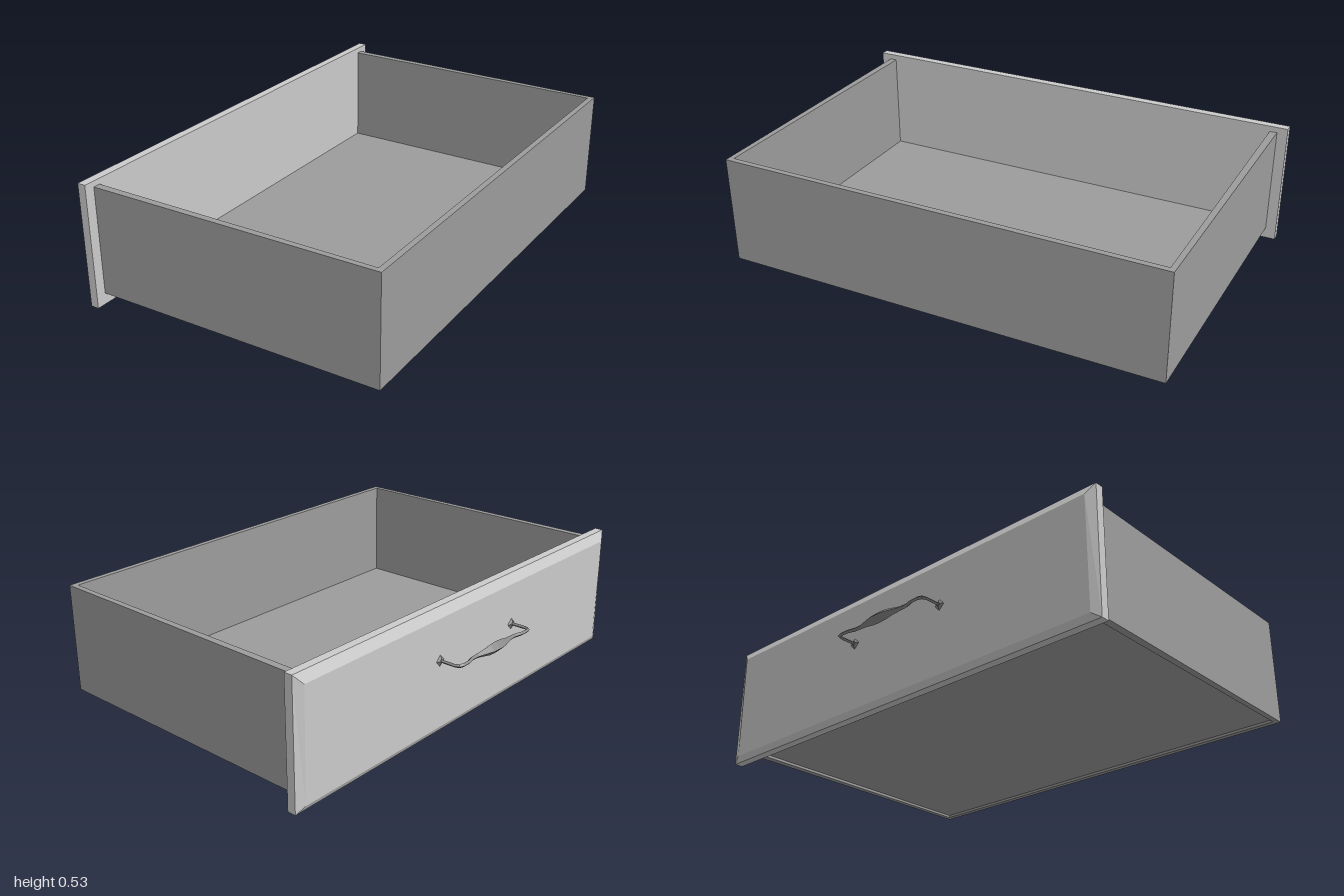
import * as THREE from 'three';

const makeMaterial = (color) => new THREE.MeshStandardMaterial({ color, flatShading: true, side: THREE.DoubleSide });
const panelMaterial = makeMaterial(0xcccccc);
const boxMaterial = makeMaterial(0x9c9c9c);
const handleMaterial = makeMaterial(0x888888);

function add(parent, name, geometry, material, x = 0, y = 0, z = 0) {
  const mesh = new THREE.Mesh(geometry, material);
  mesh.name = name;
  mesh.position.set(x, y, z);
  parent.add(mesh);
}

// Joins rings of four corners into a closed solid
function loft(rings) {
  const pos = [];
  const quad = (a, b, c, d) => [a, b, c, a, c, d].forEach((p) => pos.push(p.x, p.y, p.z));
  for (let i = 0; i < rings.length - 1; i++) {
    for (let j = 0; j < 4; j++) {
      const k = (j + 1) % 4;
      quad(rings[i][j], rings[i][k], rings[i + 1][k], rings[i + 1][j]);
    }
  }
  const [a, b, c, d] = rings[0];
  quad(d, c, b, a);
  quad(...rings[rings.length - 1]);
  const geometry = new THREE.BufferGeometry();
  geometry.setAttribute('position', new THREE.Float32BufferAttribute(pos, 3));
  geometry.computeVertexNormals();
  return geometry;
}

// Front panel: slab with a bevelled face, its ring running around -x
function panelGeometry() {
  const ring = (xTop, xBottom, y0, y1, z) => [
    new THREE.Vector3(xBottom, y0, -z), new THREE.Vector3(xBottom, y0, z),
    new THREE.Vector3(xTop, y1, z), new THREE.Vector3(xTop, y1, -z),
  ];
  return loft([
    ring(-0.54, -0.54, 0, 0.53, 1),
    ring(-0.576, -0.576, 0, 0.53, 1),
    ring(-0.596, -0.59, 0.025, 0.49, 0.963),
  ]);
}

// Grip: diamond section swept along a bent path, swelling in the middle
function gripGeometry() {
  // x, distance from the middle, radius
  const half = [
    [-0.59, 0.24, 0.007], [-0.662, 0.24, 0.007], [-0.679, 0.233, 0.008], [-0.685, 0.215, 0.008],
    [-0.684, 0.18, 0.008], [-0.675, 0.145, 0.009], [-0.674, 0.11, 0.01], [-0.678, 0.075, 0.015],
    [-0.68, 0.035, 0.023],
  ];
  const path = [
    ...half.map(([x, z, r]) => ({ p: new THREE.Vector3(x, 0, -z), r })),
    { p: new THREE.Vector3(-0.68, 0, 0), r: 0.025 },
    ...half.map(([x, z, r]) => ({ p: new THREE.Vector3(x, 0, z), r })).reverse(),
  ];
  const up = new THREE.Vector3(0, 1, 0);
  return loft(path.map(({ p, r }, i) => {
    const before = path[Math.max(i - 1, 0)].p;
    const after = path[Math.min(i + 1, path.length - 1)].p;
    const side = up.clone().cross(after.clone().sub(before).normalize());
    return [side, up, side.clone().negate(), up.clone().negate()]
      .map((v) => p.clone().addScaledVector(v, r));
  }));
}

export function createModel() {
  const model = new THREE.Group();
  model.name = 'drawer';

  add(model, 'frontPanel', panelGeometry(), panelMaterial);

  // Sides and back in one U-shaped plan, tapering slightly to the rear
  const plan = new THREE.Shape([
    [-0.54, -0.956], [0.703, -0.944], [0.703, 0.944], [-0.54, 0.956],
    [-0.54, 0.925], [0.679, 0.922], [0.679, -0.922], [-0.54, -0.925],
  ].map(([x, y]) => new THREE.Vector2(x, y)));
  const walls = new THREE.ExtrudeGeometry(plan, { depth: 0.459, bevelEnabled: false });
  walls.rotateX(-Math.PI / 2);
  add(model, 'sidesAndBack', walls, boxMaterial, 0, 0.047, 0);

  // Floor, set just above the lower edge of the sides
  add(model, 'floor', new THREE.BoxGeometry(1.22, 0.012, 1.848), boxMaterial, 0.07, 0.064, 0);

  // Handle with a small pointed plate behind each post
  const handle = new THREE.Group();
  handle.name = 'handle';
  handle.position.set(0, 0.315, 0.02);
  model.add(handle);
  add(handle, 'grip', gripGeometry(), handleMaterial);
  for (const z of [-0.24, 0.24]) {
    const plate = new THREE.CylinderGeometry(0.01, 0.025, 0.008, 4);
    plate.rotateZ(Math.PI / 2);
    add(handle, 'postPlate', plate, handleMaterial, -0.597, 0, z);
  }
  return model;
}
